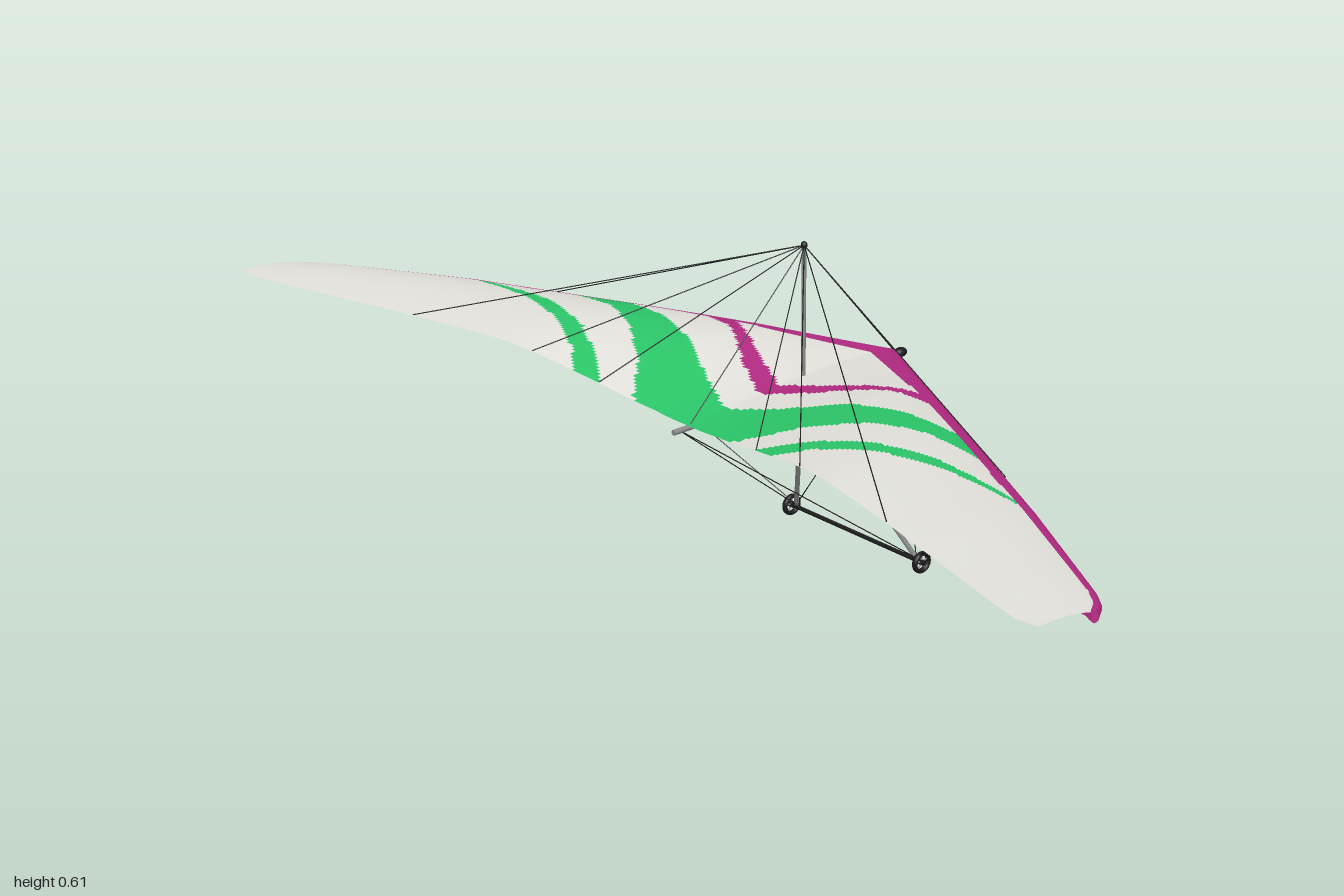
import * as THREE from 'three';

const mat = (name, color, side = THREE.FrontSide) => {
  const m = new THREE.MeshStandardMaterial({ color, side });
  m.name = name;
  return m;
};

// Piecewise linear lookup; undefined outside the given range
function lookup(points, x) {
  for (let i = 1; i < points.length; i++) {
    const [x0, y0] = points[i - 1], [x1, y1] = points[i];
    if (x >= x0 && x <= x1) return y0 + ((y1 - y0) * (x - x0)) / (x1 - x0);
  }
  return undefined;
}

// Planform and section rules, as functions of the distance from the centre line
const LEAD = [[0, -0.35], [0.95, 0.182], [0.98, 0.205], [1, 0.235]];
const TRAIL = [[0, 0.147], [0.08, 0.152], [0.2, 0.175], [0.6, 0.272], [0.9, 0.355], [0.96, 0.37], [1, 0.365]];
const CAMBER = [[0, 0.012], [0.2, 0.027], [0.32, 0.027], [0.6, 0.019], [0.9, 0.013], [1, 0.008]];
const leadY = (a) => 0.346 + 0.034 * Math.min(1, a / 0.7);
const trailY = (a) => 0.346 + 0.059 * THREE.MathUtils.smoothstep(a, 0, 0.45) + 0.005 * a;
const noseRadius = (a) => 0.013 - 0.006 * a;

function sailHeight(a, t, lower) {
  const line = THREE.MathUtils.lerp(leadY(a), trailY(a), t);
  const round = noseRadius(a) * Math.sqrt(Math.min(1, t / 0.06));
  const top = line + round * (1 - t) + lookup(CAMBER, a) * Math.sin(Math.PI * Math.pow(t, 0.75));
  if (!lower) return top;
  return THREE.MathUtils.lerp(line - round, top - 0.001, THREE.MathUtils.smoothstep(t, 0.06, 0.3));
}

// Painted bands: [upper edge, lower edge] in plan
const CHEVRON = [
  [[0, -0.062], [0.1, -0.108], [0.22, -0.168], [0.3, -0.18]],
  [[0, -0.015], [0.1, -0.068], [0.18, -0.122], [0.22, -0.14], [0.3, -0.15]],
];
const GREEN_BANDS = [
  [[[0, 0.062], [0.1, 0.015], [0.2, -0.035], [0.3, -0.063], [0.41, -0.076], [0.55, -0.04]],
    [[0, 0.2], [0.13, 0.155], [0.2, 0.085], [0.3, 0.018], [0.4, -0.022], [0.55, -0.028]]],
  [[[0.19, 0.175], [0.25, 0.135], [0.35, 0.085], [0.48, 0.05], [0.6, 0.05], [0.7, 0.06]],
    [[0.19, 0.25], [0.25, 0.19], [0.3, 0.148], [0.4, 0.102], [0.52, 0.07], [0.7, 0.064]]],
];
const EDGE_WIDTH = [[0, 0.066], [0.22, 0.052], [0.6, 0.037], [1, 0.02]];

const inBand = ([upper, lower], a, z) => {
  const u = lookup(upper, a), l = lookup(lower, a);
  return u !== undefined && l !== undefined && z > u && z < l;
};
function paint(a, z, lower) {
  if (lower || z < lookup(LEAD, a) + lookup(EDGE_WIDTH, a) || inBand(CHEVRON, a, z)) return 1;
  return GREEN_BANDS.some((band) => inBand(band, a, z)) ? 2 : 0;
}

function makeSail(materials) {
  const NX = 260, NLOW = 8, NUP = 70, N = NLOW + NUP;
  const positions = [], lists = [[], [], []];
  for (let i = 0; i <= NX; i++) {
    const x = -1 + (2 * i) / NX, a = Math.abs(x);
    for (let j = 0; j <= N; j++) {
      const lower = j < NLOW;
      const t = lower ? 0.3 * Math.pow(1 - j / NLOW, 2) : Math.pow((j - NLOW) / NUP, 1.3);
      const z = THREE.MathUtils.lerp(lookup(LEAD, a), lookup(TRAIL, a), t);
      positions.push(x, sailHeight(a, t, lower), z);
    }
  }
  for (let i = 0; i < NX; i++) {
    for (let j = 0; j < N; j++) {
      const p = i * (N + 1) + j, q = p + N + 1;
      const a = Math.abs(positions[p * 3] + positions[q * 3]) / 2;
      const z = (positions[p * 3 + 2] + positions[q * 3 + 5]) / 2;
      lists[paint(a, z, j < NLOW)].push(p, p + 1, q, q, p + 1, q + 1);
    }
  }
  const geo = new THREE.BufferGeometry();
  geo.setAttribute('position', new THREE.Float32BufferAttribute(positions, 3));
  geo.setIndex(lists.flat());
  let start = 0;
  lists.forEach((list, k) => {
    geo.addGroup(start, list.length, k);
    start += list.length;
  });
  geo.computeVertexNormals();
  return new THREE.Mesh(geo, materials);
}

export function createModel() {
  const model = new THREE.Group();
  model.name = 'hangGlider';
  const white = mat('sailWhite', 0xe0dfd9, THREE.DoubleSide);
  const magenta = mat('magenta', 0xb02a80, THREE.DoubleSide);
  const green = mat('green', 0x2bc468, THREE.DoubleSide);
  const metal = mat('tubeGrey', 0x8c8c8c);
  const black = mat('black', 0x1b1b1b);

  const add = (name, geo, material, pos = [0, 0, 0], parent = model) => {
    const mesh = new THREE.Mesh(geo, material);
    mesh.name = name;
    mesh.position.set(...pos);
    parent.add(mesh);
    return mesh;
  };
  // Round bar between two points
  const bar = (name, from, to, radius, material, sides = 10, parent = model) => {
    const a = new THREE.Vector3(...from), b = new THREE.Vector3(...to);
    const mesh = add(name, new THREE.CylinderGeometry(radius, radius, a.distanceTo(b), sides), material, [0, 0, 0], parent);
    mesh.position.copy(a).add(b).multiplyScalar(0.5);
    mesh.quaternion.setFromUnitVectors(new THREE.Vector3(0, 1, 0), b.sub(a).normalize());
  };
  const wire = (name, from, to) => bar(name, from, to, 0.001, black, 5);

  // Sail
  const sail = makeSail([white, magenta, green]);
  sail.name = 'sail';
  model.add(sail);

  // Keel, nose cap and king post
  const postTop = [0, 0.603, -0.12], nose = [0, 0.345, -0.348], keelEnd = [0, 0.342, 0.165];
  bar('keel', [0, 0.341, 0.178], [0, 0.343, -0.35], 0.005, metal, 14);
  add('noseCap', new THREE.SphereGeometry(0.01, 16, 12), black, [0, 0.345, -0.357]).scale.set(1, 0.9, 1.4);
  bar('kingPost', [0, 0.34, -0.12], postTop, 0.004, metal);
  add('kingPostCap', new THREE.SphereGeometry(0.006, 12, 10), black, postTop).scale.y = 1.2;

  // Hang strap and carabiner
  add('hangStrap', new THREE.BoxGeometry(0.014, 0.034, 0.008), magenta, [0, 0.333, -0.095]);
  const ring = add('carabiner', new THREE.TorusGeometry(0.006, 0.0012, 8, 18), metal, [0, 0.322, -0.1]);
  ring.rotation.y = Math.PI / 2;
  ring.scale.y = 1.9;

  // Base bar of the control frame
  const barY = 0.024, barZ = -0.251;
  bar('baseBar', [-0.17, barY, barZ], [0.17, barY, barZ], 0.004, black);
  bar('frameApex', [0, 0.343, -0.117], [0, 0.322, -0.119], 0.004, black);
  wire('frontTopWire', postTop, nose);
  wire('rearTopWire', postTop, [0, 0.346, 0.14]);

  for (const s of [-1, 1]) {
    const corner = [s * 0.155, 0.028, barZ];
    const joint = [s * 0.57, 0.368, -0.028];

    // Frame tubes
    bar('upright', [s * 0.004, 0.325, -0.12], corner, 0.0045, metal);
    add('cornerFitting', new THREE.SphereGeometry(0.008, 12, 8), black, corner);
    bar('crossTube', [0, 0.35, -0.08], joint, 0.005, metal);
    bar('leadingTube', [0, 0.345, -0.343], [s * 0.96, 0.377, 0.2], 0.005, metal);
    bar('leadingTubeEnd', [s * 0.95, 0.372, 0.2], [s * 0.978, 0.371, 0.222], 0.005, black);

    // Rigging wires
    for (const x of [0.2, 0.34, 0.6]) {
      wire('sailWire', postTop, [s * x, trailY(x), lookup(TRAIL, x) - 0.002]);
    }
    wire('sideTopWire', postTop, [s * 0.57, 0.385, -0.025]);
    wire('sideLowerWire', corner, joint);
    wire('frontLowerWire', corner, nose);
    wire('rearLowerWire', corner, keelEnd);

    // Wheel
    const wheel = new THREE.Group();
    wheel.name = 'wheel';
    wheel.position.set(s * 0.168, barY, barZ);
    wheel.rotation.y = Math.PI / 2;
    model.add(wheel);
    add('tyre', new THREE.TorusGeometry(0.0165, 0.004, 10, 32), black, [0, 0, 0], wheel).scale.z = 1.5;
    const hub = add('hub', new THREE.CylinderGeometry(0.005, 0.005, 0.014, 14), black, [0, 0, 0], wheel);
    hub.rotation.x = Math.PI / 2;
    for (let k = 0; k < 5; k++) {
      const q = Math.PI / 2 + (k * 2 * Math.PI) / 5;
      bar('spoke', [0, 0, 0], [0.015 * Math.cos(q), 0.015 * Math.sin(q), 0], 0.0018, metal, 6, wheel);
    }
  }
  return model;
}
